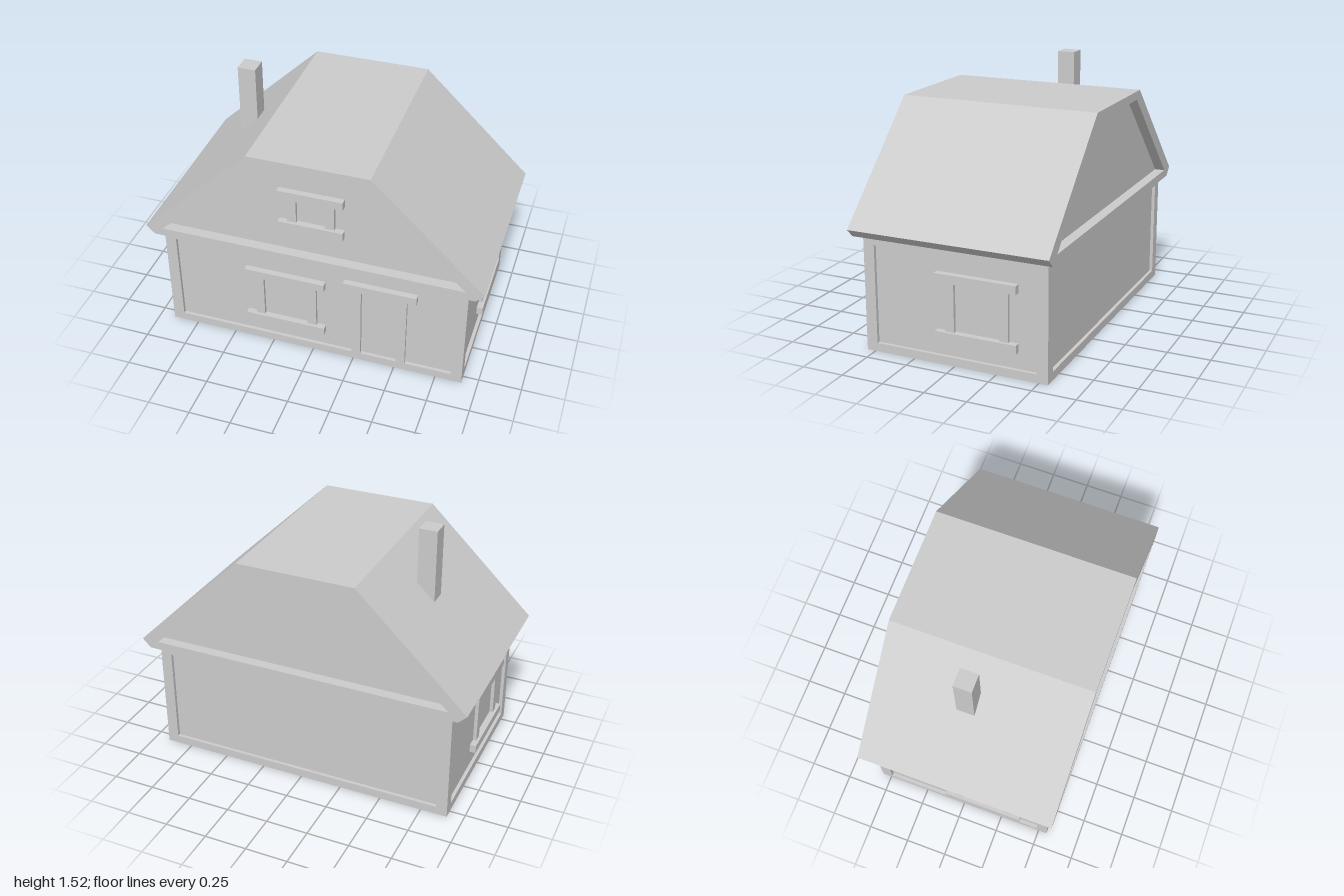
import * as THREE from 'three';

const material = new THREE.MeshStandardMaterial({ color: 0xcccccc, flatShading: true });
const RECESS = 0.02;

function add(parent, geometry, name) {
  const mesh = new THREE.Mesh(geometry, material);
  mesh.name = name;
  parent.add(mesh);
  return mesh;
}

// Box given by its minimum and maximum on each axis
function block(parent, name, [x0, x1], [y0, y1], [z0, z1]) {
  const mesh = add(parent, new THREE.BoxGeometry(x1 - x0, y1 - y0, z1 - z0), name);
  mesh.position.set((x0 + x1) / 2, (y0 + y1) / 2, (z0 + z1) / 2);
  return mesh;
}

// Flat outline, optionally with a hole, extruded from z0 to z1
function slab(parent, name, outline, hole, z0, z1) {
  const points = (list) => list.map(([x, y]) => new THREE.Vector2(x, y));
  const shape = new THREE.Shape(points(outline));
  if (hole) shape.holes.push(new THREE.Path(points(hole)));
  const geometry = new THREE.ExtrudeGeometry(shape, { depth: z1 - z0, bevelEnabled: false });
  geometry.translate(0, 0, z0);
  return add(parent, geometry, name);
}

const rect = (x, y0, y1) => [[-x, y0], [x, y0], [x, y1], [-x, y1]];

// Window trim facing +z: two posts flush with the frame, sill and head standing proud
function windowTrim(parent, name, wallZ, x, y, posts) {
  const group = new THREE.Group();
  group.name = name;
  const bar = 0.05;
  for (const px of posts) {
    block(group, 'windowPost', [px, px + 0.054], [y[0] + bar, y[1] - bar], [wallZ - RECESS, wallZ]);
  }
  block(group, 'windowSill', x, [y[0], y[0] + bar], [wallZ - RECESS, wallZ + 0.017]);
  block(group, 'windowHead', x, [y[1] - bar, y[1]], [wallZ - RECESS, wallZ + 0.017]);
  parent.add(group);
}

export function createModel() {
  const house = new THREE.Group();
  house.name = 'house';
  const W = 0.907, D = 0.553, H = 0.69;

  // Wall core, with raised frames around each recessed panel
  block(house, 'wallCore', [-W + RECESS, W - RECESS], [0, H], [-D + RECESS, D - RECESS]);
  for (const turn of [0, Math.PI]) {
    const end = new THREE.Group();
    end.name = turn ? 'backWall' : 'frontWall';
    slab(end, 'wallFrame', rect(W, 0, H), rect(0.84, 0.05, 0.635), D - RECESS, D);
    end.rotation.y = turn;
    house.add(end);

    // Side walls are the same, turned half way round
    const side = new THREE.Group();
    side.name = turn ? 'rightWall' : 'leftWall';
    slab(side, 'wallFrame', rect(D - RECESS, 0, H), rect(0.487, 0.05, 0.63), W - RECESS, W);
    windowTrim(side, 'sideWindow', W, [-0.11, 0.375], [0.148, 0.533], [-0.054, 0.268]);
    side.rotation.y = Math.PI / 2 + turn;
    house.add(side);
  }

  // Front windows
  windowTrim(house, 'frontWindow', D, [-0.41, 0.075], [0.148, 0.533], [-0.354, -0.032]);
  windowTrim(house, 'atticWindow', D, [-0.19, 0.19], [0.888, 1.148], [-0.14, 0.082]);

  // Door trim
  const door = new THREE.Group();
  door.name = 'door';
  for (const x of [0.24, 0.51]) {
    block(door, 'doorPost', [x, x + 0.053], [0.05, 0.535], [D - RECESS, D]);
  }
  block(door, 'doorLintel', [0.19, 0.62], [0.535, 0.583], [D - RECESS, D + 0.017]);
  house.add(door);

  // Roof shell with gable walls set back inside it
  const gable = [[-0.895, 0.73], [0.895, 0.73], [0.3, 1.305], [-0.3, 1.305]];
  const roof = [[-0.95, 0.68], [0.95, 0.68], [1, 0.73], [0.35, 1.355], [-0.35, 1.355], [-1, 0.73]];
  slab(house, 'roof', roof, gable, -0.594, 0.594);
  slab(house, 'gableWalls', gable, null, -D + RECESS, D - RECESS);

  // Chimney
  block(house, 'chimney', [-0.625, -0.518], [1.0, 1.52], [-0.107, 0]);

  return house;
}
